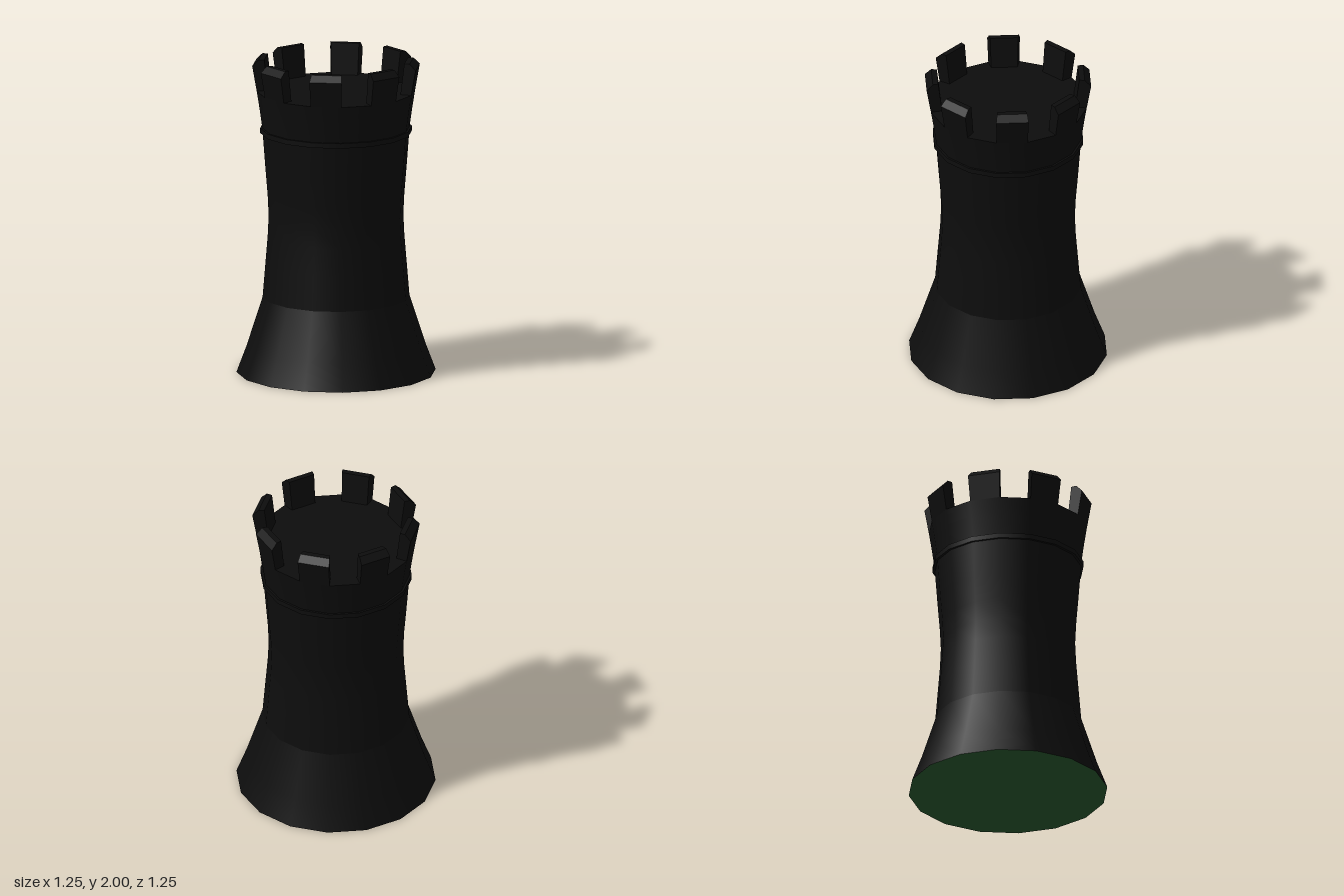
import * as THREE from 'three';
import { mergeGeometries } from 'three/addons/utils/BufferGeometryUtils.js';

const SIDES = 16;
const STEP = (Math.PI * 2) / SIDES;
const points = (list) => list.map(([r, y]) => new THREE.Vector2(r, y));

// One battlement: a closed profile swept over a single facet, with end caps
function merlonGeometry(start) {
  const profile = [[0.497, 1.8], [0.525, 1.96], [0.485, 2], [0.45, 2], [0.425, 1.8]];
  const sweep = new THREE.LatheGeometry(points([...profile, profile[0]]), 1, start, STEP).toNonIndexed();
  const cap = (angle, flip) => {
    const g = new THREE.ShapeGeometry(new THREE.Shape(points(profile)));
    if (flip) g.index.array.reverse();
    g.rotateY(angle - Math.PI / 2);
    return g.toNonIndexed();
  };
  const merged = mergeGeometries([sweep, cap(start, false), cap(start + STEP, true)]);
  merged.computeVertexNormals();
  return merged;
}

export function createModel() {
  const model = new THREE.Group();
  model.name = 'rook';
  const black = new THREE.MeshStandardMaterial({ name: 'black', color: 0x0d0d0d });
  const green = new THREE.MeshStandardMaterial({ name: 'green felt', color: 0x2a5a30 });

  const add = (name, geometry, material = black) => {
    const mesh = new THREE.Mesh(geometry, material);
    mesh.name = name;
    model.add(mesh);
    return mesh;
  };
  const lathe = (name, profile) => add(name, new THREE.LatheGeometry(points(profile), SIDES));

  // Flared foot and waisted shaft
  lathe('foot', [[0.624, 0], [0.56, 0.17], [0.46, 0.48]]);
  lathe('shaft', [[0.46, 0.48], [0.442, 0.7], [0.428, 0.87], [0.422, 1], [0.428, 1.13], [0.442, 1.3], [0.46, 1.54]]);

  // Thin collar under the crown
  const collar = new THREE.CylinderGeometry(0.475, 0.475, 0.032, SIDES);
  collar.translate(0, 1.547, 0);
  add('collar', collar);

  // Crown wall and its floor
  lathe('crown', [[0.46, 1.55], [0.478, 1.68], [0.497, 1.8]]);
  const floor = new THREE.CircleGeometry(0.497, SIDES);
  floor.rotateX(-Math.PI / 2).translate(0, 1.8, 0);
  add('crownFloor', floor);

  // Battlements on every other facet
  for (let i = 0; i < SIDES / 2; i++) add('battlement', merlonGeometry((2 * i - 1) * STEP));

  // Felt underside
  const felt = new THREE.CircleGeometry(0.624, SIDES);
  felt.rotateX(Math.PI / 2);
  add('feltBase', felt, green);

  return model;
}
